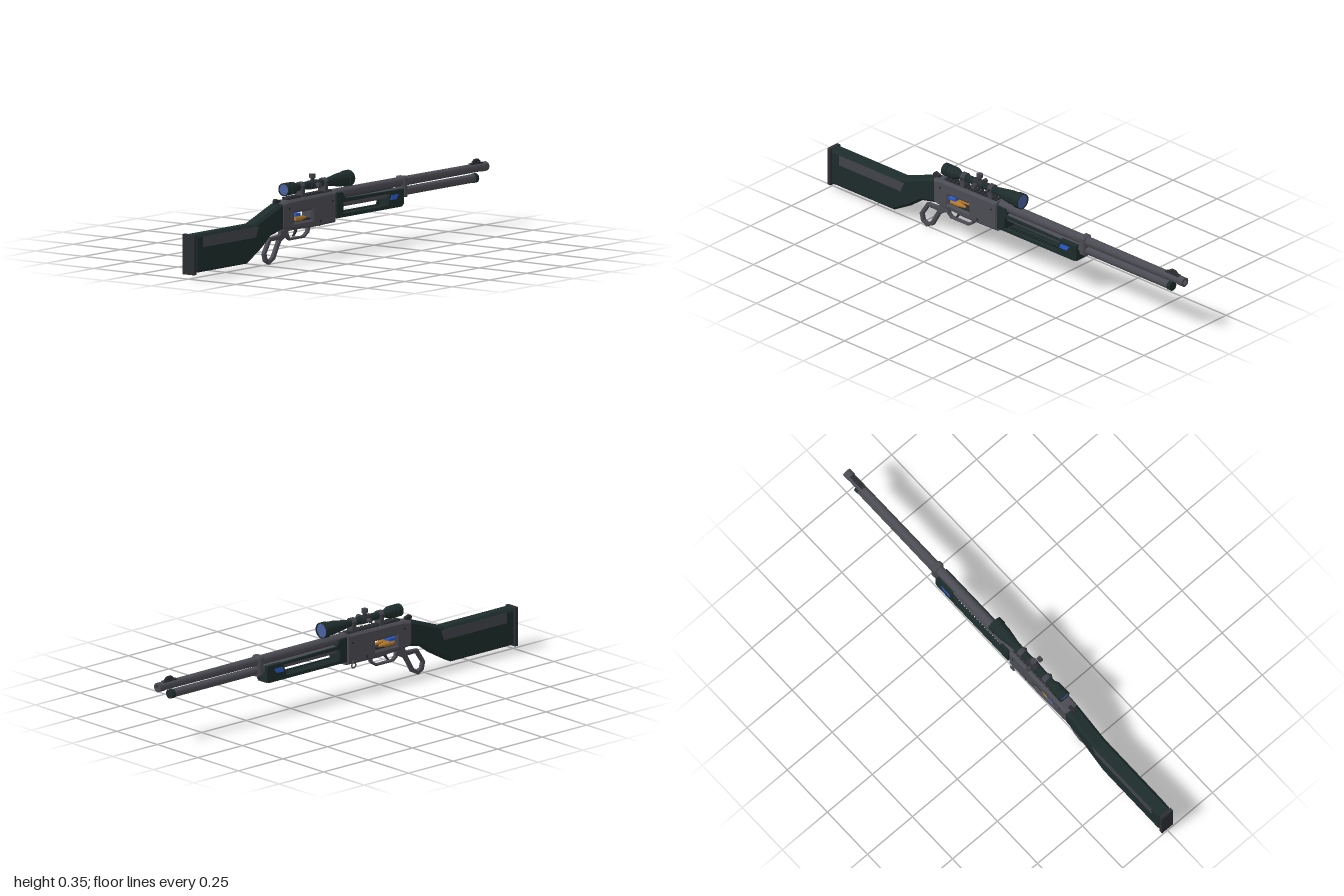
import * as THREE from 'three';
import { toCreasedNormals } from 'three/addons/utils/BufferGeometryUtils.js';

const mat = (name, color) => {
  const m = new THREE.MeshStandardMaterial({ color });
  m.name = name;
  return m;
};

export function createModel() {
  const model = new THREE.Group();
  model.name = 'leverRifle';

  const green = mat('dark green polymer', 0x1d2c2b);
  const steel = mat('grey steel', 0x4b4b53);
  const dark = mat('dark steel', 0x2b2e32);
  const panel = mat('grip panel grey', 0x42434a);
  const blue = mat('blue accent', 0x2a5cd0);
  const glass = mat('lens blue', 0x4a60a0);
  const brass = mat('brass', 0xb5792c);

  const add = (name, geo, material, x = 0, y = 0, z = 0, parent = model) => {
    const m = new THREE.Mesh(geo, material);
    m.name = name;
    m.position.set(x, y, z);
    parent.add(m);
    return m;
  };
  const box = (name, m, x0, x1, y0, y1, z0, z1) =>
    add(name, new THREE.BoxGeometry(x1 - x0, y1 - y0, z1 - z0), m, (x0 + x1) / 2, (y0 + y1) / 2, (z0 + z1) / 2);
  const V = (pts) => pts.map(([x, y]) => new THREE.Vector2(x, y));

  // Side profile extruded to a given width, centred on z, with chamfered rims
  const slab = (pts, width, bevel = 0, holes = []) => {
    const shape = new THREE.Shape(V(pts));
    holes.forEach((h) => shape.holes.push(new THREE.Path(V(h))));
    const geo = new THREE.ExtrudeGeometry(shape, {
      depth: width - 2 * bevel, bevelEnabled: bevel > 0, bevelThickness: bevel,
      bevelSize: bevel, bevelOffset: -bevel, bevelSegments: 1, curveSegments: 8,
    });
    return geo.translate(0, 0, -width / 2 + bevel);
  };
  const rect = (x0, x1, y0, y1) => [[x0, y0], [x1, y0], [x1, y1], [x0, y1]];

  // Turned part along x; profile is [x, radius]
  const turned = (profile, seg = 24) => toCreasedNormals(
    new THREE.LatheGeometry(V(profile.map(([x, r]) => [r, x])), seg).rotateZ(-Math.PI / 2), 0.5);
  const rod = (x0, x1, r) => turned([[x0, 0], [x0, r], [x1, r], [x1, 0]]);

  // Butt stock with side panels and butt pad
  add('stock', slab([[-0.985, 0.025], [-0.63, 0.025], [-0.535, 0.078], [-0.47, 0.125], [-0.39, 0.142],
    [-0.39, 0.252], [-0.42, 0.247], [-0.59, 0.185], [-0.985, 0.185]], 0.061, 0.011), green);
  add('buttPad', slab([[-1, 0.018], [-0.983, 0.018], [-0.983, 0.187], [-1, 0.187]], 0.063, 0.002), dark);
  for (const s of [1, -1]) {
    add('stockPanel', slab([[-0.935, 0.13], [-0.585, 0.13], [-0.565, 0.174], [-0.935, 0.174]], 0.003), panel, 0, 0, s * 0.0305);
  }

  // Receiver with a through port
  add('receiver', slab([[-0.405, 0.145], [-0.385, 0.14], [-0.23, 0.128], [-0.04, 0.132], [-0.04, 0.268],
    [-0.06, 0.262], [-0.36, 0.258], [-0.405, 0.25]], 0.062, 0.009,
  [rect(-0.318, -0.203, 0.163, 0.202)]), steel);
  add('cartridge', turned([[-0.31, 0], [-0.31, 0.011], [-0.265, 0.011], [-0.255, 0.009], [-0.235, 0.006], [-0.225, 0]], 14),
    brass, 0, 0.174, 0.016);
  add('cartridge', turned([[-0.31, 0], [-0.31, 0.011], [-0.265, 0.011], [-0.255, 0.009], [-0.235, 0.006], [-0.225, 0]], 14),
    brass, 0, 0.174, -0.016);
  box('portFloor', dark, -0.316, -0.205, 0.158, 0.17, -0.022, 0.022);
  box('boltAccent', blue, -0.316, -0.28, 0.186, 0.199, -0.028, 0.028);
  for (const s of [1, -1]) {
    for (const [x, y, r] of [[-0.36, 0.225, 0.005], [-0.15, 0.15, 0.006], [-0.07, 0.225, 0.005]]) {
      add('receiverPin', new THREE.CylinderGeometry(r, r, 0.004, 14).rotateX(Math.PI / 2), dark, x, y, s * 0.031);
    }
  }
  add('hammer', slab([[-0.42, 0.235], [-0.385, 0.235], [-0.39, 0.262], [-0.415, 0.27], [-0.425, 0.262]], 0.014), dark);
  // Saddle ring
  add('ringStud', new THREE.CylinderGeometry(0.006, 0.006, 0.01, 12).rotateX(Math.PI / 2), steel, -0.072, 0.142, -0.033);
  add('saddleRing', new THREE.TorusGeometry(0.011, 0.003, 8, 20), steel, -0.072, 0.128, -0.035);

  // Lever loop, trigger guard and trigger
  add('leverLoop', slab([[-0.385, 0.135], [-0.39, 0.116], [-0.46, 0.112], [-0.5, 0.05], [-0.492, 0.016], [-0.462, 0],
    [-0.425, 0.018], [-0.385, 0.086], [-0.35, 0.105], [-0.335, 0.135]], 0.017, 0.002,
  [[[-0.45, 0.097], [-0.482, 0.05], [-0.476, 0.026], [-0.46, 0.018], [-0.437, 0.031], [-0.4, 0.096]]]), steel);
  add('triggerGuard', slab([[-0.36, 0.135], [-0.345, 0.102], [-0.325, 0.086], [-0.225, 0.086], [-0.195, 0.105], [-0.185, 0.132]], 0.017, 0.002,
    [[[-0.335, 0.127], [-0.332, 0.108], [-0.319, 0.095], [-0.23, 0.095], [-0.207, 0.11], [-0.2, 0.127]]]), steel);
  add('trigger', slab([[-0.285, 0.135], [-0.285, 0.12], [-0.298, 0.1], [-0.292, 0.098], [-0.274, 0.118], [-0.268, 0.135]], 0.008), dark);

  // Barrel, magazine tube, muzzle and barrel band
  add('barrel', turned([[-0.05, 0], [-0.05, 0.021], [0.42, 0.02], [0.97, 0.018], [0.97, 0.02], [1, 0.02], [1, 0.011], [0.985, 0.011], [0.985, 0]]), steel, 0, 0.247, 0);
  add('magazineTube', rod(-0.05, 0.915, 0.018), steel, 0, 0.205, 0);
  add('magazineCap', rod(0.913, 0.932, 0.02), green, 0, 0.205, 0);
  add('barrelBand', slab([[0.418, 0.182], [0.452, 0.182], [0.452, 0.262], [0.446, 0.27], [0.424, 0.27], [0.418, 0.262]], 0.05, 0.008), steel);

  // Skeleton forend: two side plates, end blocks and a slotted floor
  const side = [[-0.04, 0.148], [0.4, 0.148], [0.412, 0.158], [0.412, 0.222], [0.02, 0.228], [0, 0.254], [-0.04, 0.256]];
  for (const s of [1, -1]) {
    add('forendSide', slab(side, 0.007, 0.002, [[[0.005, 0.164], [0.3, 0.164], [0.318, 0.211], [0.005, 0.211]]]), green, 0, 0, s * 0.0285);
    add('forendAccent', slab([[0.318, 0.184], [0.358, 0.184], [0.374, 0.204], [0.326, 0.204]], 0.003), blue, 0, 0, s * 0.0325);
  }
  box('forendRearBlock', green, -0.04, 0.005, 0.15, 0.25, -0.027, 0.027);
  box('forendFrontBlock', green, 0.318, 0.41, 0.15, 0.22, -0.027, 0.027);
  const slots = [];
  for (let i = 0; i < 18; i++) slots.push(rect(0.016 + i * 0.016, 0.024 + i * 0.016, -0.012, 0.012));
  add('forendFloor', slab(rect(0.0, 0.32, -0.027, 0.027), 0.008, 0, slots).rotateX(Math.PI / 2), green, 0, 0.154, 0);

  // Front sight
  add('frontSight', slab([[0.9, 0.258], [0.965, 0.258], [0.96, 0.274], [0.946, 0.284], [0.925, 0.285], [0.912, 0.276]], 0.01, 0.002), dark);
  box('sightRamp', dark, 0.895, 0.97, 0.255, 0.268, -0.009, 0.009);

  // Toothed scope rail
  box('rail', dark, -0.35, -0.05, 0.254, 0.263, -0.014, 0.014);
  for (let i = 0; i < 15; i++) box('railTooth', dark, -0.348 + i * 0.02, -0.336 + i * 0.02, 0.262, 0.269, -0.017, 0.017);

  // Scope
  const scope = new THREE.Group();
  scope.name = 'scope';
  scope.position.y = 0.302;
  model.add(scope);
  add('scopeBody', turned([[-0.355, 0.022], [-0.36, 0.024], [-0.36, 0.027], [-0.335, 0.027], [-0.335, 0.024], [-0.328, 0.024],
    [-0.328, 0.027], [-0.297, 0.026], [-0.275, 0.016], [-0.07, 0.016], [0.015, 0.029], [0.052, 0.03], [0.052, 0.034],
    [0.08, 0.034], [0.08, 0.031], [0.07, 0.03]], 28), green, 0, 0, 0, scope);
  add('frontLens', rod(0.065, 0.074, 0.0305), glass, 0, 0, 0, scope);
  add('rearLens', rod(-0.357, -0.35, 0.0235), glass, 0, 0, 0, scope);
  add('turretHub', rod(-0.192, -0.138, 0.019), dark, 0, 0, 0, scope);
  const knob = (h, r) => toCreasedNormals(new THREE.CylinderGeometry(r, r, h, 18), 0.5);
  add('topTurret', knob(0.03, 0.008), dark, -0.165, 0.022, 0, scope);
  add('topTurretCap', knob(0.016, 0.0135), panel, -0.165, 0.037, 0, scope);
  add('sideTurret', knob(0.043, 0.008).rotateX(Math.PI / 2), dark, -0.165, 0, 0.0, scope);
  add('sideTurretCap', knob(0.016, 0.012).rotateX(Math.PI / 2), panel, -0.165, 0, 0.035, scope);
  add('sideTurretCap', knob(0.02, 0.009).rotateX(Math.PI / 2), panel, -0.165, 0, -0.03, scope);
  for (const x of [-0.248, -0.093]) {
    add('scopeRing', rod(x - 0.011, x + 0.011, 0.021), panel, 0, 0, 0, scope);
    box('ringFoot', panel, x - 0.011, x + 0.011, 0.26, 0.292, -0.018, 0.018);
    for (const s of [1, -1]) add('ringScrew', knob(0.008, 0.005), dark, x, 0.002, s * 0.021, scope);
  }
  return model;
}
